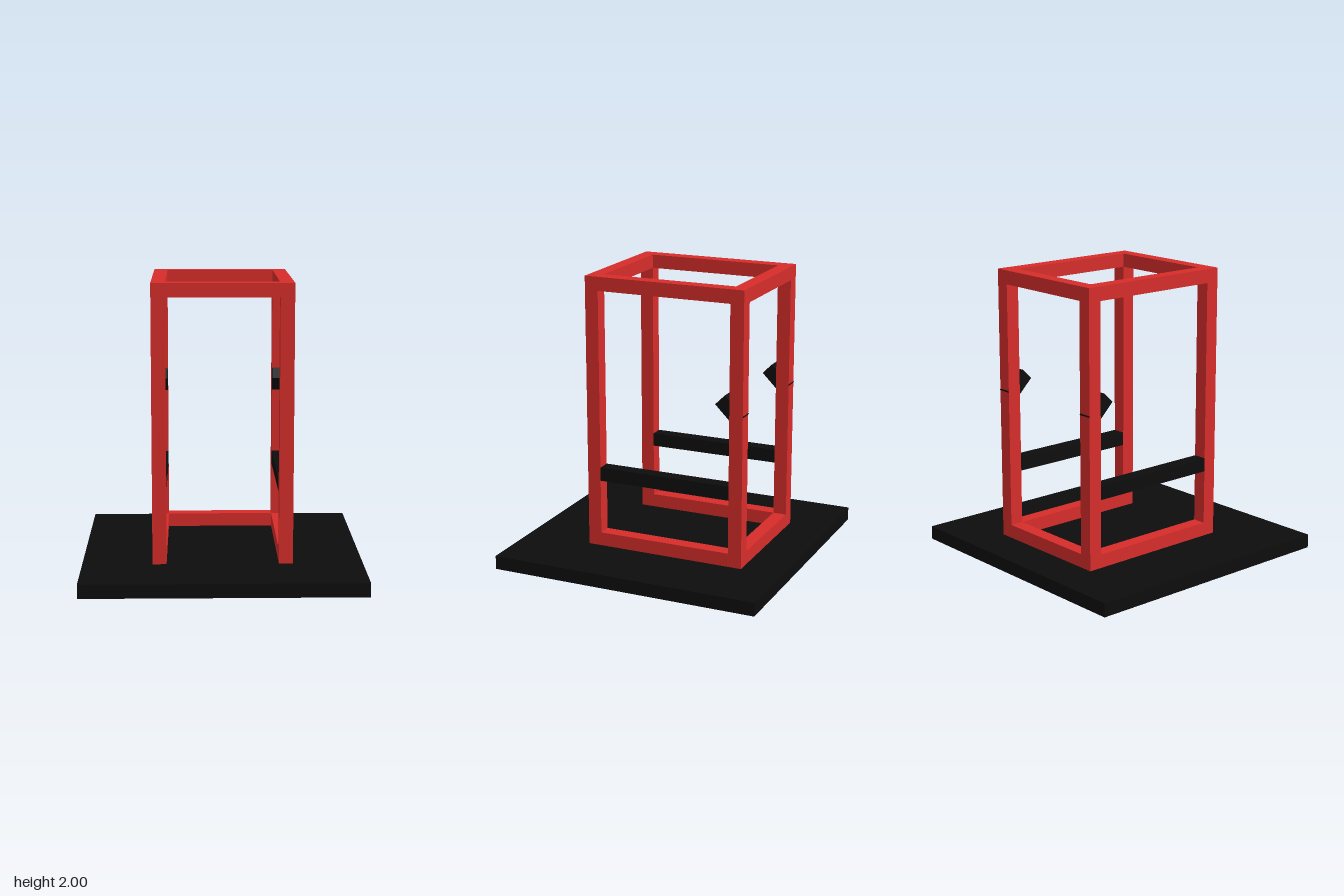
import * as THREE from 'three';

const U = 2 / 21; // bar thickness, the unit of the whole rack

export function createModel() {
  const rack = new THREE.Group();
  rack.name = 'powerRack';
  const red = new THREE.MeshStandardMaterial({ color: 0xd62d2a });
  const black = new THREE.MeshStandardMaterial({ color: 0x0d0d0d });

  // Box sized and placed in bar units
  const box = (name, material, [w, h, d], [x, y, z]) => {
    const mesh = new THREE.Mesh(new THREE.BoxGeometry(w * U, h * U, d * U), material);
    mesh.name = name;
    mesh.position.set(x * U, y * U, z * U);
    rack.add(mesh);
    return mesh;
  };

  // Floor platform
  box('platform', black, [20, 1, 20], [0, 0.5, 0]);

  const front = 4.5, back = -6.5, side = 4.5, middle = -1;
  for (const [label, s] of [['left', 1], ['right', -1]]) {
    const x = s * side;
    // Uprights
    box(label + 'FrontPost', red, [1, 20, 1], [x, 11, front]);
    box(label + 'BackPost', red, [1, 20, 1], [x, 11, back]);
    // Side rails at floor and top
    box(label + 'BottomRail', red, [1, 1, 10], [x, 1.5, middle]);
    box(label + 'TopRail', red, [1, 1, 10], [x, 20.5, middle]);
    // Safety bar between the posts
    box(label + 'SafetyBar', black, [1, 1, 10], [x, 6.5, middle]);
    // Tilted bar hook passing through the back post
    const hook = box(label + 'Hook', black, [0.98, 1, 2], [x, 12.5, -6]);
    hook.rotation.x = -Math.PI / 4;
  }

  // Cross rails; the front stays open at the floor
  box('frontTopRail', red, [8, 1, 1], [0, 20.5, front]);
  box('backTopRail', red, [8, 1, 1], [0, 20.5, back]);
  box('backBottomRail', red, [8, 1, 1], [0, 1.5, back]);

  return rack;
}
